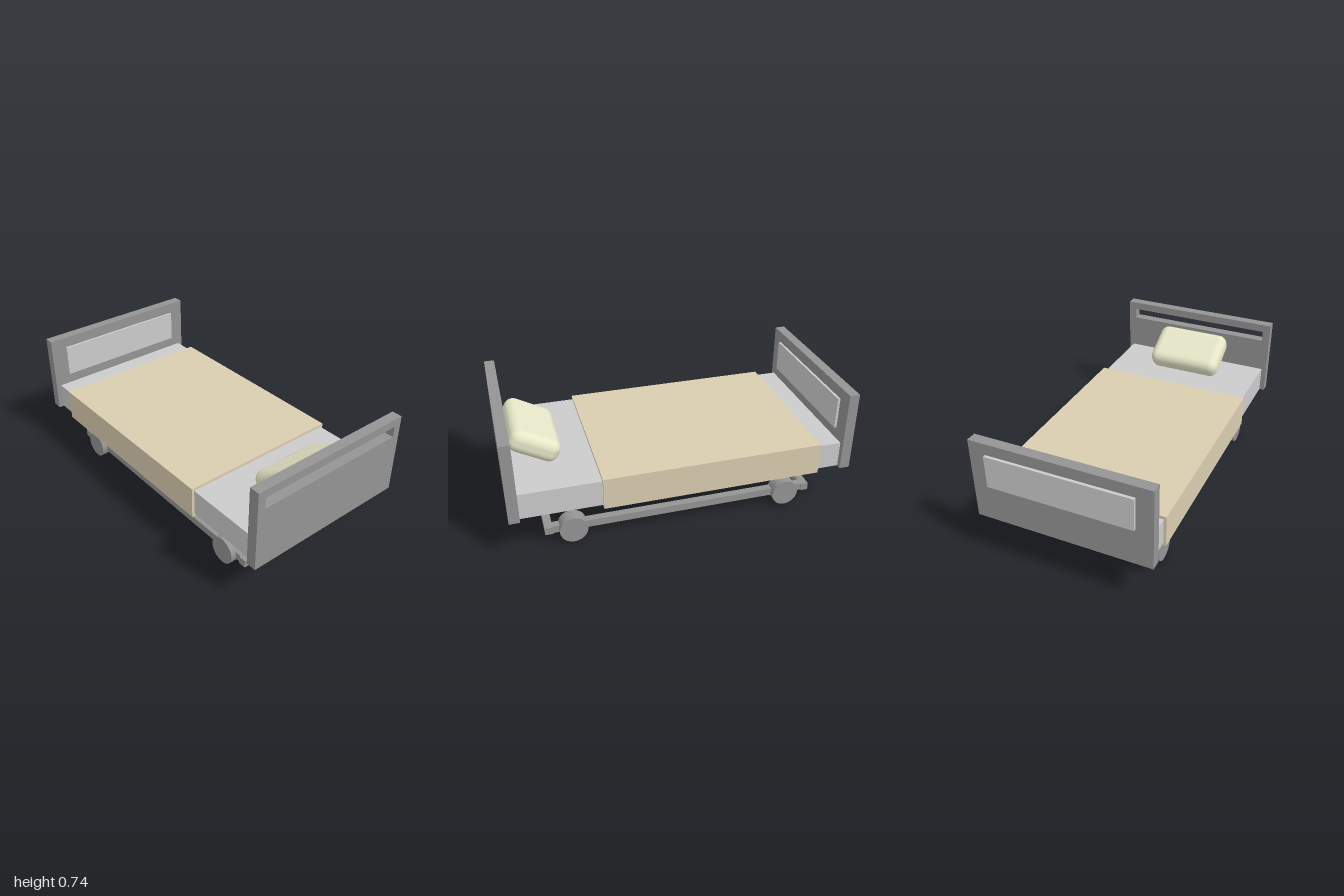
import * as THREE from 'three';
import { RoundedBoxGeometry } from 'three/addons/geometries/RoundedBoxGeometry.js';

const material = (color) => new THREE.MeshStandardMaterial({ color });

export function createModel() {
  const bed = new THREE.Group();
  bed.name = 'bed';

  const frameGrey = material(0x949494);
  const lightGrey = material(0xcccccc);
  const blanketTan = material(0xdacdb0);
  const pillowCream = material(0xe6e7c8);

  const add = (name, geometry, mat, x = 0, y = 0, z = 0) => {
    const mesh = new THREE.Mesh(geometry, mat);
    mesh.name = name;
    mesh.position.set(x, y, z);
    bed.add(mesh);
    return mesh;
  };

  // Box given by its lower and upper limits on each axis
  const addBox = (name, mat, [x0, x1], [y0, y1], [z0, z1]) =>
    add(name, new THREE.BoxGeometry(x1 - x0, y1 - y0, z1 - z0), mat,
      (x0 + x1) / 2, (y0 + y1) / 2, (z0 + z1) / 2);

  // Rectangle outline for the board and its hand slot
  const rectangle = (PathType, halfWidth, y0, y1) => new PathType([
    new THREE.Vector2(-halfWidth, y0),
    new THREE.Vector2(halfWidth, y0),
    new THREE.Vector2(halfWidth, y1),
    new THREE.Vector2(-halfWidth, y1),
  ]);

  // Headboard with a long slot, and footboard with an inset panel
  const headShape = rectangle(THREE.Shape, 0.51, 0.26, 0.74);
  headShape.holes.push(rectangle(THREE.Path, 0.463, 0.627, 0.692));
  add('headboard', new THREE.ExtrudeGeometry(headShape, { depth: 0.06, bevelEnabled: false }),
    frameGrey, 0, 0, 0.94);
  addBox('footboard', frameGrey, [-0.51, 0.51], [0.26, 0.74], [-0.983, -0.923]);
  addBox('footboardPanel', lightGrey, [-0.414, 0.414], [0.485, 0.674], [-1, -0.908]);

  // Mattress, blanket and tilted pillow
  addBox('mattress', lightGrey, [-0.48, 0.48], [0.262, 0.417], [-0.93, 0.95]);
  addBox('blanket', blanketTan, [-0.495, 0.495], [0.245, 0.435], [-0.79, 0.485]);
  const pillow = add('pillow', new RoundedBoxGeometry(0.47, 0.135, 0.295, 5, 0.055),
    pillowCream, 0, 0.521, 0.8);
  pillow.rotation.x = -THREE.MathUtils.degToRad(29);

  // Undercarriage: end bars, side rails and wheels
  const barHeight = [0.06, 0.105];
  addBox('frontCrossBar', frameGrey, [-0.4, 0.4], barHeight, [0.765, 0.81]);
  addBox('backCrossBar', frameGrey, [-0.4, 0.4], barHeight, [-0.79, -0.745]);

  const wheelGeometry = new THREE.CylinderGeometry(0.08, 0.08, 0.082, 32).rotateZ(Math.PI / 2);
  for (const [side, sign] of [['left', 1], ['right', -1]]) {
    add(`${side}Rail`, new THREE.BoxGeometry(0.045, 0.045, 1.53), frameGrey,
      sign * 0.37, 0.0825, 0.01);
    add(`${side}FrontWheel`, wheelGeometry, frameGrey, sign * 0.383, 0.08, 0.65);
    add(`${side}BackWheel`, wheelGeometry, frameGrey, sign * 0.383, 0.08, -0.63);
  }

  return bed;
}
